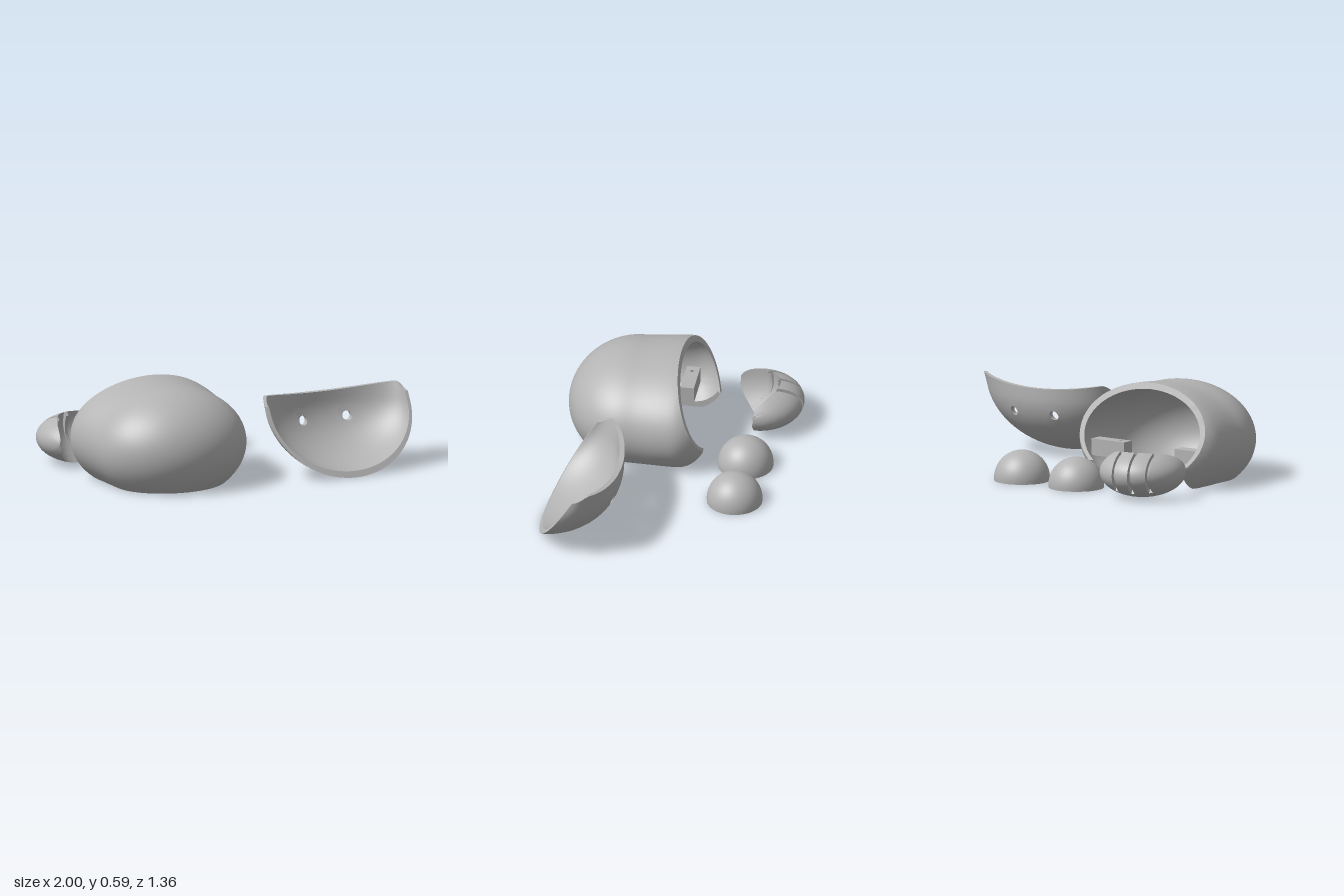
import * as THREE from 'three';
import { toCreasedNormals } from 'three/addons/utils/BufferGeometryUtils.js';

const grey = new THREE.MeshStandardMaterial({ color: 0xb4b4b4 });
grey.name = 'plain grey';
const V = (x, y, z) => new THREE.Vector3(x, y, z);
const { sin, cos, sqrt, abs, max, min, PI } = Math;

// Collects polygons, then makes one mesh with smooth faces and sharp edges
class Skin {
  pos = [];
  poly(p, flip = false) {
    for (let i = 1; i < p.length - 1; i++) {
      const t = flip ? [p[0], p[i + 1], p[i]] : [p[0], p[i], p[i + 1]];
      t.forEach(v => this.pos.push(v.x, v.y, v.z));
    }
  }
  grid(rows, flip, skip = () => false) {
    for (let i = 0; i < rows.length - 1; i++)
      for (let j = 0; j < rows[i].length - 1; j++)
        if (!skip(i, j)) this.poly([rows[i][j], rows[i + 1][j], rows[i + 1][j + 1], rows[i][j + 1]], flip);
  }
  mesh(name) {
    let g = new THREE.BufferGeometry();
    g.setAttribute('position', new THREE.Float32BufferAttribute(this.pos, 3));
    g.scale(200, 200, 200);
    g = toCreasedNormals(g, 0.6);
    g.scale(1 / 200, 1 / 200, 1 / 200);
    const m = new THREE.Mesh(g, grey);
    m.name = name;
    return m;
  }
}

// Cuts a small convex cell with a plane (keeps n.p + d >= 0) and caps the cut
function clip(faces, n, d) {
  const dist = p => n.dot(p) + d, cut = [], out = [];
  for (const f of faces) {
    const q = [];
    f.p.forEach((a, i) => {
      const b = f.p[(i + 1) % f.p.length], da = dist(a), db = dist(b);
      if (da >= 0) q.push(a);
      if ((da >= 0) !== (db >= 0)) {
        const c = a.clone().lerp(b, da / (da - db));
        q.push(c);
        cut.push(c);
      }
    });
    if (q.length > 2) out.push({ p: q, show: f.show });
  }
  if (cut.length > 2) {
    const mid = cut.reduce((s, p) => s.add(p), V(0, 0, 0)).divideScalar(cut.length);
    const u = V(n.y, n.z, n.x).cross(n).normalize(), w = u.clone().cross(n).normalize();
    const ang = p => { const e = p.clone().sub(mid); return Math.atan2(e.dot(w), e.dot(u)); };
    out.push({ p: cut.sort((a, b) => ang(a) - ang(b)), show: true });
  }
  return out;
}

// Hollow rounded body, open underneath and cut at a slant behind
function bodyShell() {
  const skin = new Skin(), cx = -0.505, N = 72, zs = [];
  for (let i = 8; i > 0; i--) zs.push(-0.2 * i / 8);
  for (let i = 0; i < 10; i++) zs.push(0.028 * i);
  for (let i = 0; i <= 20; i++) zs.push(0.28 + 0.4 * sin(i / 20 * PI / 2));
  const point = (z, a, inset) => {
    const t = THREE.MathUtils.smoothstep(z, 0, 0.28);
    const k = z > 0.28 ? sqrt(max(0, 1 - ((z - 0.28) / 0.4) ** 2)) : z < 0 ? sqrt(1 - (z / 0.27) ** 2) : 1;
    const th = 0.036 * inset;
    const rx = (0.495 - 0.025 * t - th) * k, ry = (0.345 - 0.005 * t - th) * k;
    const zi = z > 0.28 ? 0.28 + (z - 0.28) * (1 - th / 0.4) : z;
    return V(cx + rx * cos(a), 0.245 - 0.012 * t + ry * sin(a), zi);
  };
  for (let i = 0; i < zs.length - 1; i++) for (let j = 0; j < N; j++) {
    const a0 = j / N * 2 * PI, a1 = (j + 1) / N * 2 * PI;
    const ring = s => [point(zs[i], a0, s), point(zs[i], a1, s), point(zs[i + 1], a1, s), point(zs[i + 1], a0, s)];
    const o = ring(0), n = ring(1);
    let cell = [
      { p: [o[0], o[1], o[2]], show: true }, { p: [o[0], o[2], o[3]], show: true },
      { p: [n[0], n[2], n[1]], show: true }, { p: [n[0], n[3], n[2]], show: true },
    ];
    for (let k = 0; k < 4; k++) { const l = (k + 1) % 4; cell.push({ p: [o[l], o[k], n[k], n[l]], show: false }); }
    cell = clip(cell, V(0, 1, 0), 0);
    cell = clip(cell, V(0, -0.391, 1), 0.58 * 0.391 - 0.01);
    // notch for the neck at the lower back
    const low = () => clip(cell, V(0, -1, 0), 0.12);
    const pieces = zs[i] > 0.1 ? [cell] : [clip(cell, V(0, 1, 0), -0.12),
      clip(low(), V(1, 0, 0), -cx - 0.335), clip(low(), V(-1, 0, 0), cx - 0.335)];
    pieces.flat().forEach(f => f.show && skin.poly(f.p));
  }
  return skin.mesh('bodyShell');
}

// Curved face plate with two round holes
function facePlate() {
  const skin = new Skin(), cx = 0.533, C = 48, R = 24;
  const level = (y, d) => {
    const y0 = 0.035 * d, zs = 0.68 - 0.62 * y0;
    const q = y < 0.37 ? sqrt(max(0, 1 - ((0.37 - y) / (0.37 - y0)) ** 2)) : 1;
    return { hx: (0.467 - 0.018 * d) * q, zr: 0.68 - 0.62 * y, zb: zs - (zs - 0.195 - 0.032 * d) * q };
  };
  const at = (i, j, d) => {
    const th = (i / C - 0.5) * PI, s = abs(sin(th));
    const top = 0.425 + 0.045 * s * s - 0.05 * max(0, (s - 0.93) / 0.07) ** 2;
    const y = 0.035 * d + (top - 0.035 * d) * (1 - cos(j / R * PI / 2));
    const l = level(y, d);
    return V(cx + l.hx * sin(th), y, l.zr - (l.zr - l.zb) * cos(th));
  };
  const sheets = [0, 1].map(d => Array.from({ length: C + 1 }, (_, i) =>
    Array.from({ length: R + 1 }, (_, j) => at(i, j, d))));
  const [out, inn] = sheets;
  const blocks = [17, 27], j0 = 16;
  const inBlock = (i, j) => j >= j0 && j < j0 + 4 && blocks.some(b => i >= b && i < b + 4);
  skin.grid(out, true, inBlock);
  skin.grid(inn, false, inBlock);
  // front rim and top edge
  for (let j = 0; j < R; j++) {
    skin.poly([inn[C][j], out[C][j], out[C][j + 1], inn[C][j + 1]]);
    skin.poly([out[0][j], inn[0][j], inn[0][j + 1], out[0][j + 1]]);
  }
  for (let i = 0; i < C; i++) skin.poly([inn[i][R], inn[i + 1][R], out[i + 1][R], out[i][R]]);
  // holes
  blocks.forEach((b, side) => {
    const loop = [];
    for (let k = 0; k < 4; k++) loop.push([b + k, j0]);
    for (let k = 0; k < 4; k++) loop.push([b + 4, j0 + k]);
    for (let k = 0; k < 4; k++) loop.push([b + 4 - k, j0 + 4]);
    for (let k = 0; k < 4; k++) loop.push([b, j0 + 4 - k]);
    const hx = side ? 0.145 : -0.145, hy = 0.27;
    const holes = sheets.map((sh, d) => loop.map((_, k) => {
      const a = (k / 16 - 0.375) * 2 * PI;
      const x = hx + 0.028 * cos(a), y = hy + 0.028 * sin(a), l = level(y, d);
      return V(cx + x, y, l.zr - (l.zr - l.zb) * sqrt(1 - (x / l.hx) ** 2));
    }));
    for (let k = 0; k < 16; k++) {
      const m = (k + 1) % 16;
      sheets.forEach((sh, d) => skin.poly(
        [sh[loop[k][0]][loop[k][1]], sh[loop[m][0]][loop[m][1]], holes[d][m], holes[d][k]], d === 0));
      skin.poly([holes[1][k], holes[1][m], holes[0][m], holes[0][k]]);
    }
  });
  return skin.mesh('facePlate');
}

// Scooped jaw with three grooves over the back
function jaw() {
  const skin = new Skin(), rx = 0.255, ry = 0.147, rz = 0.26, R = 36;
  const slots = [-0.105, 0, 0.105], half = 0.011;
  let cols = [];
  for (let i = 0; i <= 40; i++) cols.push({ x: rx * sin((i / 40 - 0.5) * PI), g: false });
  cols = cols.filter(c => !slots.some(s => abs(c.x - s) < half + 0.003));
  slots.forEach(s => [-1, 1].forEach(e => [false, true].forEach(g =>
    cols.push({ x: s + e * half + (g ? -e : e) * 1e-5, g }))));
  cols.sort((a, b) => a.x - b.x);
  const outer = [], inner = [];
  for (const { x, g } of cols) {
    const k = sqrt(max(0, 1 - (x / rx) ** 2)), f = (x / 0.24) ** 2;
    const ang = z => Math.acos(max(-1, min(1, -z / (max(k, 1e-3) * rz))));
    const hi = ang(-0.12 + 0.21 * f), lo = -ang(0.02 + 0.07 * f);
    const col = [], scoop = [];
    for (let j = 0; j <= R; j++) {
      const b = lo + (hi - lo) * j / R, r = k * (g && b > -0.75 ? 0.84 : 1);
      col.push(V(x, r * ry * sin(b), -r * rz * cos(b)));
    }
    for (let j = 0; j <= 12; j++) {
      const p = col[0].clone().lerp(col[R], j / 12);
      p.z -= 0.06 * max(0, 1 - f) * sin(PI * j / 12);
      scoop.push(p);
    }
    outer.push(col);
    inner.push(scoop);
  }
  skin.grid(outer, true);
  skin.grid(inner, false);
  const m = skin.mesh('jaw');
  m.position.set(-0.747, ry, -0.42);
  m.rotation.y = 0.31;
  return m;
}

// Domed eye with a flat base
function eye(x, name) {
  const pts = [new THREE.Vector2(0, 0), new THREE.Vector2(0.164, 0)];
  for (let i = 0; i <= 20; i++) {
    const a = i / 20 * PI / 2;
    pts.push(new THREE.Vector2(0.165 * cos(a), 0.016 + 0.165 * sin(a)));
  }
  const m = new THREE.Mesh(toCreasedNormals(new THREE.LatheGeometry(pts, 48).scale(200, 200, 200), 0.6).scale(0.005, 0.005, 0.005), grey);
  m.position.set(x, 0, -0.412);
  m.name = name;
  return m;
}

// Mounting block inside the shell with a screw hole
function block(side, name) {
  const s = new THREE.Shape([[0.185, -0.05], [0.425, -0.05], [0.425, 0.03], [0.185, 0.03]]
    .map(p => new THREE.Vector2(...p)));
  s.holes.push(new THREE.Path().absarc(0.235, -0.01, 0.012, 0, 2 * PI, true));
  const g = new THREE.ExtrudeGeometry(s, { depth: 0.1, bevelEnabled: false, curveSegments: 12 });
  if (side < 0) g.translate(-0.61, 0, 0);
  const m = new THREE.Mesh(g.rotateX(-PI / 2), grey);
  m.position.set(-0.505, 0.12, 0);
  m.name = name;
  return m;
}

export function createModel() {
  const group = new THREE.Group();
  group.name = 'helmetParts';
  group.add(bodyShell(), facePlate(), jaw(), eye(-0.252, 'rightEye'), eye(0.147, 'leftEye'),
    block(1, 'leftBlock'), block(-1, 'rightBlock'));
  return group;
}
